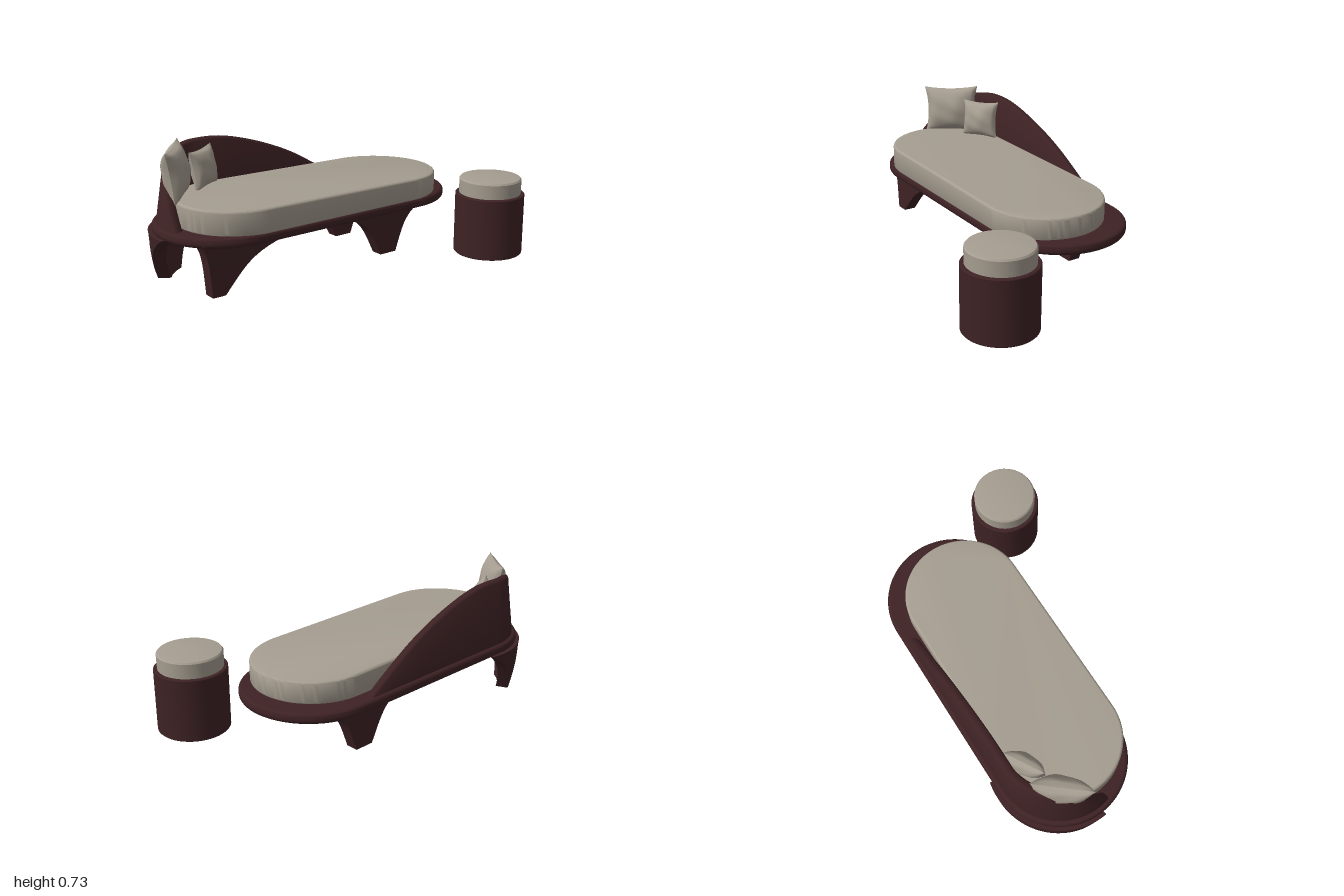
import * as THREE from 'three';
import { toCreasedNormals } from 'three/addons/utils/BufferGeometryUtils.js';

const wood = new THREE.MeshStandardMaterial({ color: 0x3e2224 });
wood.name = 'dark stained wood';
const fabric = new THREE.MeshStandardMaterial({ color: 0xa59d90 });
fabric.name = 'warm grey fabric';

function add(parent, name, geometry, material) {
  const mesh = new THREE.Mesh(geometry, material);
  mesh.name = name;
  parent.add(mesh);
  return mesh;
}

// Move every vertex of a geometry by a rule
function reshape(geometry, rule) {
  const p = geometry.attributes.position;
  const v = new THREE.Vector3();
  for (let i = 0; i < p.count; i++) {
    rule(v.fromBufferAttribute(p, i));
    p.setXYZ(i, v.x, v.y, v.z);
  }
  geometry.computeVertexNormals();
  return geometry;
}

// Flat slab with round ends and a rounded rim
function stadium(x0, x1, z0, z1, y0, y1, bevel) {
  const r = (z1 - z0) / 2 - bevel;
  const cy = -(z0 + z1) / 2;
  const shape = new THREE.Shape();
  shape.absarc(x1 - bevel - r, cy, r, -Math.PI / 2, Math.PI / 2);
  shape.absarc(x0 + bevel + r, cy, r, Math.PI / 2, Math.PI * 1.5);
  const g = new THREE.ExtrudeGeometry(shape, {
    depth: y1 - y0 - 2 * bevel, bevelSize: bevel, bevelThickness: bevel,
    bevelSegments: 4, curveSegments: 32,
  });
  g.rotateX(-Math.PI / 2).translate(0, y0 + bevel, 0);
  return g;
}

// Slab leg whose two edges sweep out from the foot to the top
function leg(foot, top, thickness, slope, place) {
  const sweep = (v) => slope * v + (1 - slope) * v ** 5;
  const g = reshape(new THREE.BoxGeometry(1, 1, 1, 20, 16, 1), (p) => {
    const v = p.y + 0.5;
    const w = sweep(v);
    const left = THREE.MathUtils.lerp(foot[0], top[0], w);
    const right = THREE.MathUtils.lerp(foot[1], top[1], w);
    p.x = THREE.MathUtils.lerp(left, right, p.x + 0.5);
    p.y = v * 0.285;
    p.z *= thickness + 0.015 * v ** 10;
    place(p, v);
  });
  return toCreasedNormals(g, 0.7);
}

// Curved backrest: cross-sections along the rear edge and around the end
function backrest() {
  const profile = new THREE.SplineCurve([
    [0, 0.31], [0.22, 0.45], [0.4, 0.55], [0.6, 0.63], [0.8, 0.685], [0.95, 0.7],
    [1.12, 0.69], [1.3, 0.655], [1.45, 0.575], [1.59, 0.45], [1.7, 0.31],
  ].map(([s, h]) => new THREE.Vector2(s, h)));
  const stations = 72;
  const radius = 0.35;
  const pos = [];
  const index = [];
  for (let i = 0; i <= stations; i++) {
    const { x: s, y: h } = profile.getPoint(i / stations);
    const a = Math.max(0, s - 1.03) / radius;
    const cx = s < 1.03 ? 0.4 - s : -0.63;
    const lean = (h - 0.3) * (0.05 + 0.12 * Math.sin(Math.min(a, Math.PI / 2)));
    const section = [
      [radius, 0.3], [radius - lean, h - 0.012], [radius - lean - 0.01, h],
      [radius - lean - 0.04, h], [radius - lean - 0.05, h - 0.012], [radius - 0.065, 0.3],
    ];
    for (const [r, y] of section) pos.push(cx - r * Math.sin(a), y, -0.19 - r * Math.cos(a));
    if (i === stations) break;
    for (let j = 0; j < 6; j++) {
      const k = (j + 1) % 6;
      const p = i * 6, q = p + 6;
      index.push(p + j, q + j, p + k, q + j, q + k, p + k);
    }
  }
  const g = new THREE.BufferGeometry();
  g.setAttribute('position', new THREE.Float32BufferAttribute(pos, 3));
  g.setIndex(index);
  g.computeVertexNormals();
  return toCreasedNormals(g, 0.9);
}

// Puffed square pillow with pinched edges and pointed corners
function pillow(width, height, depth) {
  return reshape(new THREE.BoxGeometry(2, 2, 2, 24, 24, 1), (p) => {
    const { x: u, y: v, z } = p;
    const puff = Math.pow(Math.max(0, (1 - u * u) * (1 - v * v)), 0.5);
    const crease = 1 + 0.07 * Math.sin(5 * u + 3 * v) * Math.cos(4 * v - u);
    p.x = (width / 2) * u * (1 - 0.12 * (1 - v * v));
    p.y = (height / 2) * v * (1 - 0.1 * (1 - u * u));
    p.z = Math.sign(z) * (depth / 2) * puff * crease;
  });
}

function lathe(points) {
  const g = new THREE.LatheGeometry(points.map(([r, y]) => new THREE.Vector2(r, y)), 48);
  return toCreasedNormals(g, 0.6);
}

export function createModel() {
  const model = new THREE.Group();
  model.name = 'daybed with stool';

  // Daybed platform and mattress
  const daybed = new THREE.Group();
  daybed.name = 'daybed';
  model.add(daybed);
  add(daybed, 'platform', toCreasedNormals(stadium(-1, 0.83, -0.56, 0.18, 0.275, 0.33, 0.02), 0.6), wood);
  const mattress = reshape(stadium(-0.9, 0.73, -0.47, 0.183, 0.325, 0.46, 0.014), (p) => {
    if (p.y > 0.4) p.y -= 0.016 * THREE.MathUtils.smoothstep(p.x, -0.1, 0.73);
  });
  add(daybed, 'mattress', toCreasedNormals(mattress, 0.6), fabric);
  add(daybed, 'backrest', backrest(), wood);

  // Legs: three straight slabs and one bent around the rear corner
  const at = (z) => (p) => { p.z += z; };
  add(daybed, 'frontLeftEndLeg', leg([-0.845, -0.77], [-0.9, -0.2], 0.07, 0.45, at(0.025)), wood);
  add(daybed, 'frontLeg', leg([0.26, 0.37], [-0.05, 0.6], 0.07, 0.45, at(0.025)), wood);
  add(daybed, 'rearLeg', leg([0.26, 0.37], [-0.05, 0.6], 0.07, 0.45, at(-0.395)), wood);
  add(daybed, 'rearCornerLeg', leg([-0.1, 0.1], [-0.33, 0.33], 0.07, 0.75, (p, v) => {
    const a = THREE.MathUtils.degToRad(228) + p.x / 0.345;
    const r = 0.315 + 0.035 * Math.sin(v * Math.PI * 0.6) - p.z;
    p.x = -0.63 + r * Math.cos(a);
    p.z = -0.19 + r * Math.sin(a);
  }), wood);

  // Pillows leaning against the backrest
  const large = add(daybed, 'largePillow', pillow(0.33, 0.28, 0.14), fabric);
  large.position.set(-0.825, 0.585, -0.315);
  large.rotation.set(-0.14, 0.88, 0.04, 'YXZ');
  const small = add(daybed, 'smallPillow', pillow(0.235, 0.22, 0.11), fabric);
  small.position.set(-0.615, 0.56, -0.395);
  small.rotation.set(-0.16, 0.54, 0.03, 'YXZ');

  // Round stool with a cushion
  const stool = new THREE.Group();
  stool.name = 'stool';
  stool.position.set(0.805, 0, 0.372);
  model.add(stool);
  add(stool, 'stoolDrum', lathe([[0, 0], [0.19, 0], [0.195, 0.005], [0.195, 0.345], [0.19, 0.35], [0, 0.35]]), wood);
  add(stool, 'stoolCushion', lathe([[0, 0.345], [0.174, 0.345], [0.175, 0.43], [0.168, 0.439], [0.15, 0.442], [0, 0.445]]), fabric);

  return model;
}
